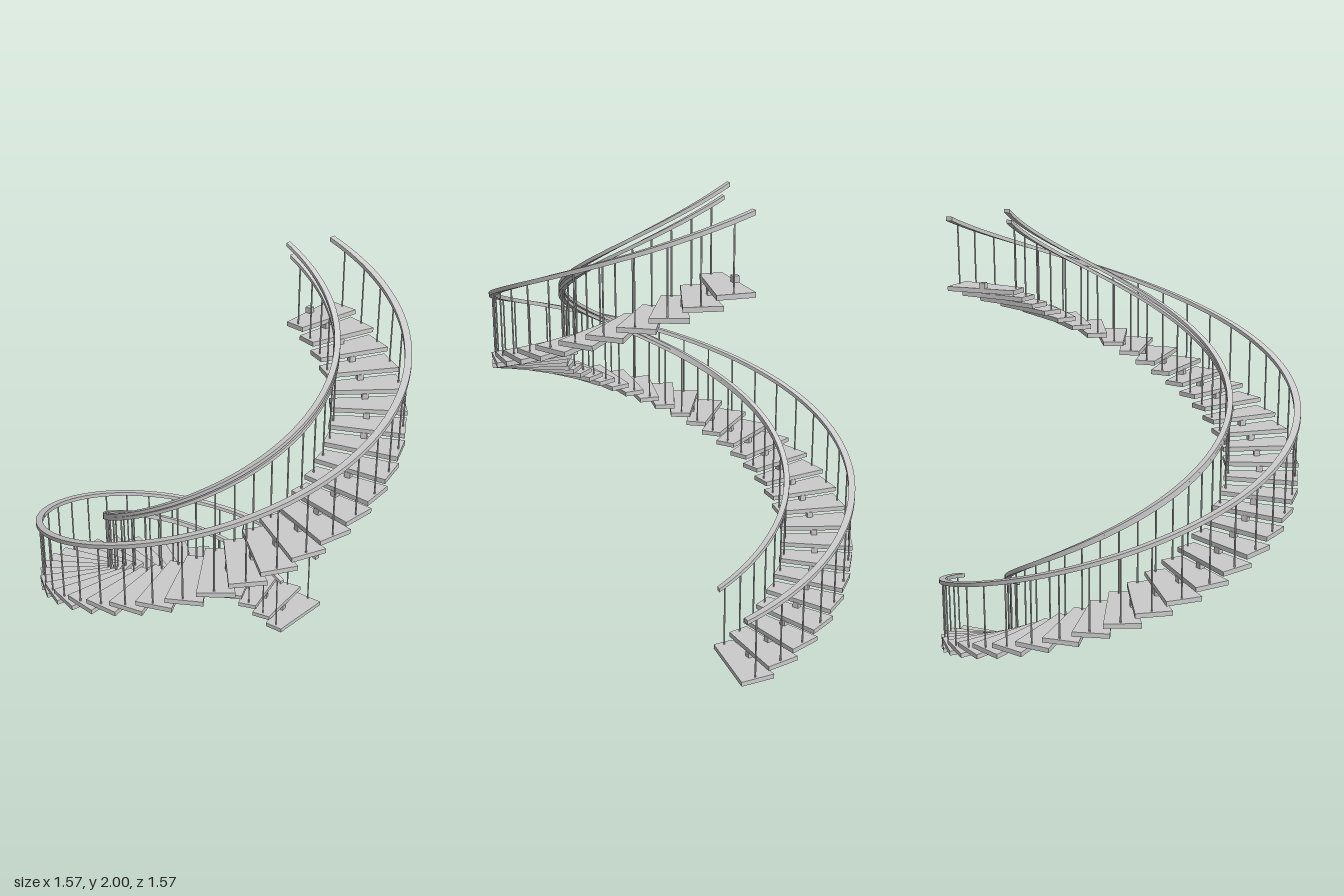
import * as THREE from 'three';

const STEPS = 40, TURN = 9, RISE = 0.0418;   // degrees and height per step
const INNER = 0.485, OUTER = 0.77;           // rail radii
const rad = THREE.MathUtils.degToRad;

// Angle runs from the back (-z) towards the model's right (-x)
const polar = (r, deg, y) => new THREE.Vector3(-r * Math.sin(rad(deg)), y, -r * Math.cos(rad(deg)));

// Box bent around the y axis, rising from y0 to y1 between two angles
function bentBox(width, height, r, deg0, deg1, y0, y1, segments) {
  const g = new THREE.BoxGeometry(width, height, 1, 1, 1, segments);
  const p = g.attributes.position;
  for (let i = 0; i < p.count; i++) {
    const t = 0.5 - p.getZ(i);
    const v = polar(r + p.getX(i), deg0 + (deg1 - deg0) * t, y0 + (y1 - y0) * t + p.getY(i));
    p.setXYZ(i, v.x, v.y, v.z);
  }
  g.computeVertexNormals();
  return g;
}

export function createModel() {
  const model = new THREE.Group();
  model.name = 'helicalStaircase';
  const material = new THREE.MeshStandardMaterial({ color: 0xcccccc });
  const add = (name, geometry, parent = model) => {
    const mesh = new THREE.Mesh(geometry, material);
    mesh.name = name;
    parent.add(mesh);
    return mesh;
  };

  // Height of the main handrails at a given angle
  const railY = (deg) => 0.288 + (deg + 9.5) * 0.0046;

  const blockGeometry = new THREE.BoxGeometry(0.026, 0.026, 0.026);

  for (let i = 0; i < STEPS; i++) {
    const step = new THREE.Group();
    step.name = 'step' + (i + 1);
    model.add(step);
    const a = i * TURN, y = i * RISE;

    // Tapered tread, overlapping the next one slightly
    add('tread', bentBox(0.315, 0.02, 0.6275, a - 11, a, y + 0.01, y + 0.01, 1), step);

    // Spacer block carrying the next tread
    const block = add('spacerBlock', blockGeometry, step);
    block.position.copy(polar(0.618, a - 1, y + 0.032));
    block.rotation.y = rad(a - 1);

    // Inner and outer balusters
    for (const [name, r] of [['innerBaluster', INNER], ['outerBaluster', OUTER]]) {
      const deg = a - 6, top = railY(deg), bottom = y + 0.018;
      const post = add(name, new THREE.CylinderGeometry(0.0035, 0.0035, top - bottom, 8), step);
      post.position.copy(polar(r, deg, (top + bottom) / 2));
    }
  }

  // Handrails following the balusters
  const start = -9.5, end = 350.5;
  add('outerHandrail', bentBox(0.029, 0.018, OUTER, start, end, railY(start), railY(end), 120));
  add('innerHandrail', bentBox(0.024, 0.016, INNER, start, end, railY(start), railY(end), 120));

  // Steeper second inner rail, parting from the first as it climbs
  add('upperInnerRail', bentBox(0.024, 0.016, INNER, start, 353, railY(start), 1.992, 120));

  return model;
}
